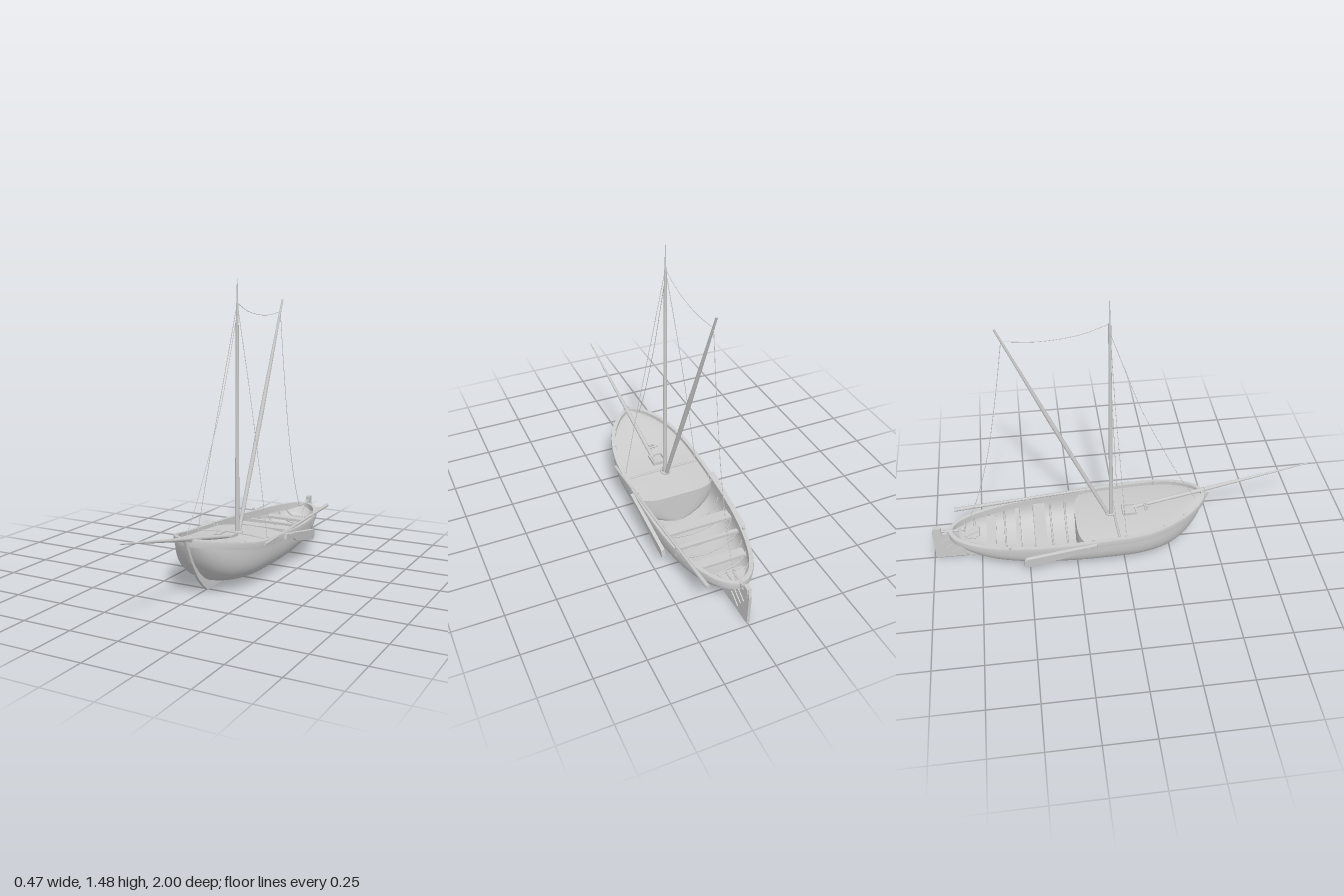
import * as THREE from 'three';
import { toCreasedNormals } from 'three/addons/utils/BufferGeometryUtils.js';

const grey = new THREE.MeshStandardMaterial({ color: 0xcccccc });
const sheet = new THREE.MeshStandardMaterial({ color: 0xcccccc, side: THREE.DoubleSide });
const V = (x, y, z) => new THREE.Vector3(x, y, z);
const STERN = -0.905, BOW = 0.44, MID = (STERN + BOW) / 2, HALF = (BOW - STERN) / 2;

// Smooth lookup through [z, value] pairs
function lookup(table) {
  const n = table.length - 1;
  const slope = (i) => {
    const a = table[Math.max(i - 1, 0)], b = table[Math.min(i + 1, n)];
    return (b[1] - a[1]) / (b[0] - a[0]);
  };
  return (z) => {
    let i = 0;
    while (i < n - 1 && z > table[i + 1][0]) i++;
    const [z0, v0] = table[i], [z1, v1] = table[i + 1], h = z1 - z0;
    const t = THREE.MathUtils.clamp((z - z0) / h, 0, 1), t2 = t * t, t3 = t2 * t;
    return v0 * (2 * t3 - 3 * t2 + 1) + v1 * (3 * t2 - 2 * t3) + h * (slope(i) * (t3 - 2 * t2 + t) + slope(i + 1) * (t3 - t2));
  };
}

// Hull lines: sheer height, bottom height, half breadth, fullness
const sheer = lookup([[-0.905, 0.178], [-0.7, 0.175], [-0.5, 0.182], [-0.3, 0.193], [-0.1, 0.206], [0.1, 0.221], [0.3, 0.259], [0.44, 0.29]]);
const bottom = lookup([[-0.905, 0.168], [-0.85, 0.105], [-0.75, 0.06], [-0.6, 0.03], [-0.3, 0.01], [0, 0.01], [0.2, 0.03], [0.3, 0.073], [0.38, 0.153], [0.42, 0.225], [0.44, 0.283]]);
function breadth(z) {
  const fore = z > -0.05, u = fore ? Math.max(0, z) / BOW : Math.max(0, -0.1 - z) / (-0.1 - STERN);
  return 0.212 * Math.pow(Math.max(0, 1 - Math.pow(u, fore ? 2.2 : 2.5)), fore ? 0.6 : 0.5);
}
const fullness = (z) => 2 + 1.5 * breadth(z) / 0.212;

// Point on the hull section at z; inset moves it to the inner skin
function skin(z, a, inset = 0) {
  const p = 2 / fullness(z), top = sheer(z), s = Math.sin(a), across = Math.pow(Math.abs(s), p);
  const low = Math.min(top, bottom(z) + inset + 0.1 * breadth(z) * across);
  const w = Math.max(0, breadth(z) - inset);
  return V(Math.sign(s) * w * across, top - (top - low) * Math.pow(Math.max(0, Math.cos(a)), p), z);
}
// Half width of the inner skin at height y
function innerWidth(z, y) {
  let lo = 0, hi = Math.PI / 2;
  for (let i = 0; i < 24; i++) {
    const mid = (lo + hi) / 2;
    if (skin(z, mid, 0.012).y < y) lo = mid; else hi = mid;
  }
  return skin(z, lo, 0.012).x;
}

// Surface from rows of points, fn(u, v) with u and v in 0..1
function grid(nu, nv, fn) {
  const pos = [], idx = [];
  for (let i = 0; i <= nu; i++) for (let j = 0; j <= nv; j++) {
    pos.push(...fn(i / nu, j / nv).toArray());
    if (i < nu && j < nv) {
      const a = i * (nv + 1) + j, b = a + nv + 1;
      idx.push(a, a + 1, b, b, a + 1, b + 1);
    }
  }
  const g = new THREE.BufferGeometry();
  g.setAttribute('position', new THREE.Float32BufferAttribute(pos, 3));
  g.setIndex(idx);
  g.computeVertexNormals();
  return g;
}

export function createModel() {
  const boat = new THREE.Group();
  boat.name = 'sailingBoat';
  const add = (name, geo, mat = grey) => {
    const m = new THREE.Mesh(geo, mat);
    m.name = name;
    boat.add(m);
    return m;
  };
  const box = (name, w, h, d, x, y, z) => {
    const m = add(name, new THREE.BoxGeometry(w, h, d));
    m.position.set(x, y, z);
    return m;
  };
  // Tapered round spar between two points
  const spar = (name, a, b, ra, rb, sides = 12) => {
    const m = add(name, new THREE.CylinderGeometry(rb, ra, a.distanceTo(b), sides));
    m.position.copy(a).lerp(b, 0.5);
    m.quaternion.setFromUnitVectors(V(0, 1, 0), b.clone().sub(a).normalize());
    return m;
  };
  const tube = (name, pts, r, n = 32, sides = 5) =>
    add(name, new THREE.TubeGeometry(new THREE.CatmullRomCurve3(pts), n, r, sides));
  // Flat board with its outline in (z, y), centred on x = 0
  const board = (name, outline, thick) => {
    const g = new THREE.ExtrudeGeometry(new THREE.Shape(outline.map((p) => new THREE.Vector2(...p))), { depth: thick, bevelEnabled: false });
    return add(name, g.translate(0, 0, -thick / 2).rotateY(-Math.PI / 2));
  };

  // Hull skins
  const shell = (inset) => grid(64, 40, (u, v) =>
    skin(MID - (HALF - inset) * Math.cos(Math.PI * u), (v - 0.5) * Math.PI, inset));
  add('hull', shell(0), sheet);
  add('hullLining', shell(0.012), sheet);

  // Gunwale following the sheer; section given as [outward, up] corners
  const section = [[-0.015, -0.03], [0.004, -0.03], [0.007, -0.004], [0.005, 0.006], [-0.015, 0.006]];
  add('gunwale', toCreasedNormals(grid(128, section.length, (u, v) => {
    const at = (f) => { const z = MID + HALF * Math.cos(f); return V(Math.sign(Math.sin(f)) * breadth(z), sheer(z), z); };
    const f = u * Math.PI * 2, d = at(f + 0.02).sub(at(f - 0.02));
    const out = V(-d.z, 0, d.x).normalize(), s = section[Math.round(v * section.length) % section.length];
    return at(f).addScaledVector(out, s[0]).add(V(0, s[1], 0));
  }), 0.7), sheet);

  // Keel, stem and sternpost in one board
  board('keelAndStem', [[-0.82, 0], [0.26, 0], [0.3, 0.03], [0.35, 0.08], [0.41, 0.17], [0.445, 0.24], [0.467, 0.293], [0.435, 0.297],
    [0.41, 0.21], [0.37, 0.145], [0.3, 0.085], [0.2, 0.04], [0, 0.02], [-0.3, 0.02], [-0.6, 0.038], [-0.75, 0.068], [-0.85, 0.113], [-0.895, 0.18], [-0.925, 0.18]], 0.014);

  // Rudder with straps and tiller
  board('rudder', [[-0.826, 0.004], [-0.99, 0.004], [-0.997, 0.17], [-0.985, 0.21], [-0.95, 0.21], [-0.948, 0.17], [-0.92, 0.165]], 0.014);
  box('rudderHead', 0.022, 0.05, 0.034, 0, 0.185, -0.966);
  [[-0.87, 0.05], [-0.895, 0.088], [-0.92, 0.126]].forEach(([z, y]) => {
    box('rudderStrap', 0.024, 0.013, 0.075, 0, y, z).rotation.x = -0.5;
  });
  spar('tiller', V(0, 0.182, -0.97), V(0, 0.18, -0.83), 0.007, 0.005, 8);

  // Deck, bulkhead below its after edge, stern platform
  const deckHeight = (z, s) => sheer(z) - 0.014 + 0.012 * (1 - s * s);
  const deckEnd = (s) => -0.245 + 0.045 * s ** 4;
  add('foredeck', grid(40, 20, (u, v) => {
    const s = v * 2 - 1, z = THREE.MathUtils.lerp(deckEnd(s), BOW - 0.012, Math.sin(u * Math.PI / 2));
    return V(s * innerWidth(z, sheer(z) - 0.014), deckHeight(z, s), z);
  }), sheet);
  add('bulkhead', grid(16, 20, (u, v) => {
    const s = v * 2 - 1, z = deckEnd(s), y = THREE.MathUtils.lerp(0.026, deckHeight(z, s), u);
    return V(s * innerWidth(z, y), y, z);
  }), sheet);
  add('sternPlatform', grid(24, 12, (u, v) => {
    const z = THREE.MathUtils.lerp(-0.76, -0.86, u);
    return V((v * 2 - 1) * innerWidth(z, 0.115), 0.115, z);
  }), sheet);
  const edge = innerWidth(-0.766, 0.103);
  box('sternPlatformEdge', edge * 2, 0.014, 0.012, 0, 0.11, -0.76);
  for (const s of [-0.5, 0, 0.5]) spar('platformBatten', V(s * edge, 0.117, -0.76), V(s * 0.03, 0.117, -0.835), 0.004, 0.004, 6);

  // Frames against the lining, and thwarts across them
  for (const z of [-0.29, -0.37, -0.46, -0.54, -0.62, -0.7, -0.78, -0.83]) {
    const pts = [];
    for (let i = 0; i <= 16; i++) pts.push(skin(z, (i / 16 - 0.5) * 2.9, 0.016));
    tube('frame', pts, 0.005, 32, 6);
  }
  for (const [z, depth] of [[-0.43, 0.06], [-0.55, 0.02], [-0.69, 0.05]]) {
    const y = sheer(z) - 0.04;
    box('thwart', 2 * innerWidth(z - depth / 2, y - 0.007), 0.014, depth, 0, y, z);
  }

  // Deck fittings: beam, hatch, bitts, mast ring
  const beam = [];
  for (let i = -4; i <= 4; i++) beam.push(V(i * 0.048, deckHeight(-0.03, i / 4) + 0.002, -0.03 - 0.01 * (1 - (i / 4) ** 2)));
  tube('deckBeam', beam, 0.006, 24, 6);
  for (const s of [-1, 1]) {
    box('hatchCoaming', 0.008, 0.02, 0.074, s * 0.034, 0.218, 0.042);
    box('hatchCoaming', 0.076, 0.02, 0.008, 0, 0.218, 0.042 + s * 0.034);
  }
  box('hatchCover', 0.05, 0.012, 0.05, 0, 0.217, 0.042);
  for (const x of [-0.014, 0.004]) box('bitt', 0.01, 0.03, 0.012, x, 0.232, 0.135);
  spar('bittBar', V(-0.035, 0.237, 0.125), V(0.015, 0.237, 0.125), 0.005, 0.005, 8);
  const ring = add('mastRing', new THREE.TorusGeometry(0.022, 0.006, 8, 20).rotateX(Math.PI / 2));
  ring.position.set(0, 0.212, -0.06);

  // Spars
  spar('mast', V(0, 0.04, -0.055), V(0, 1.365, -0.053), 0.012, 0.007);
  spar('mastPole', V(0, 1.36, -0.053), V(0, 1.484, -0.053), 0.0045, 0.002, 8);
  spar('sprit', V(0, 0.21, -0.075), V(0, 0.8, -0.331), 0.01, 0.0115);
  spar('sprit', V(0, 0.8, -0.331), V(0, 1.375, -0.575), 0.0115, 0.005);
  spar('bowsprit', V(0.018, 0.218, 0.06), V(0.018, 0.296, 0.43), 0.01, 0.011);
  spar('bowsprit', V(0.018, 0.296, 0.43), V(0.02, 0.417, 1), 0.011, 0.003);
  const stemRing = add('bowspritRing', new THREE.TorusGeometry(0.012, 0.003, 6, 16));
  stemRing.position.set(0.018, 0.298, 0.445);

  // Rigging
  const R = 0.0015;
  tube('forestay', [V(0, 1.31, -0.05), V(-0.002, 1.16, 0), V(-0.008, 0.87, 0.1), V(-0.018, 0.645, 0.2), V(-0.028, 0.44, 0.3), V(-0.035, 0.293, 0.385)], R);
  tube('peakLine', [V(0, 1.365, -0.053), V(0, 1.32, -0.18), V(0, 1.297, -0.37), V(0, 1.31, -0.55)], R);
  tube('sheetLine', [V(0, 1.31, -0.55), V(0, 1, -0.6), V(0, 0.62, -0.675), V(0, 0.35, -0.755), V(0, 0.178, -0.83)], R);

  for (const s of [-1, 1]) {
    tube('shroud', [V(0, 1.365, -0.053), V(s * 0.07, 0.98, -0.04), V(s * 0.136, 0.6, -0.02), V(s * 0.197, 0.215, 0)], R);
    // Leeboard hung outside the hull
    const lee = board('leeboard', [[-0.155, 0.205], [-0.15, 0.178], [-0.25, 0.158], [-0.3, 0.135], [-0.4, 0.112], [-0.515, 0.086], [-0.53, 0.095], [-0.525, 0.135], [-0.515, 0.143], [-0.36, 0.17], [-0.25, 0.19]], 0.018);
    lee.position.x = s * 0.205;
    lee.rotation.z = -s * 0.1;
    spar('leeboardPin', V(s * 0.19, 0.188, -0.2), V(s * 0.234, 0.188, -0.2), 0.008, 0.008, 8);
    // Thole pins and rail cleats
    const rim = breadth(-0.595);
    spar('tholePin', V(s * rim, 0.145, -0.595), V(s * rim, 0.197, -0.595), 0.008, 0.007, 8);
    for (const z of [-0.17, 0, 0.2, 0.31]) {
      const x = s * (breadth(z) - 0.014);
      spar('railPin', V(x, sheer(z) - 0.02, z), V(x, sheer(z) + 0.012, z), 0.006, 0.004, 8);
    }
  }

  // Oar lying along the left rail
  spar('oarShaft', V(0.224, 0.21, 0.08), V(0.182, 0.197, -0.5), 0.008, 0.007, 8);
  spar('oarBlade', V(0.182, 0.197, -0.49), V(0.152, 0.19, -0.88), 0.007, 0.011, 8);
  return boat;
}
